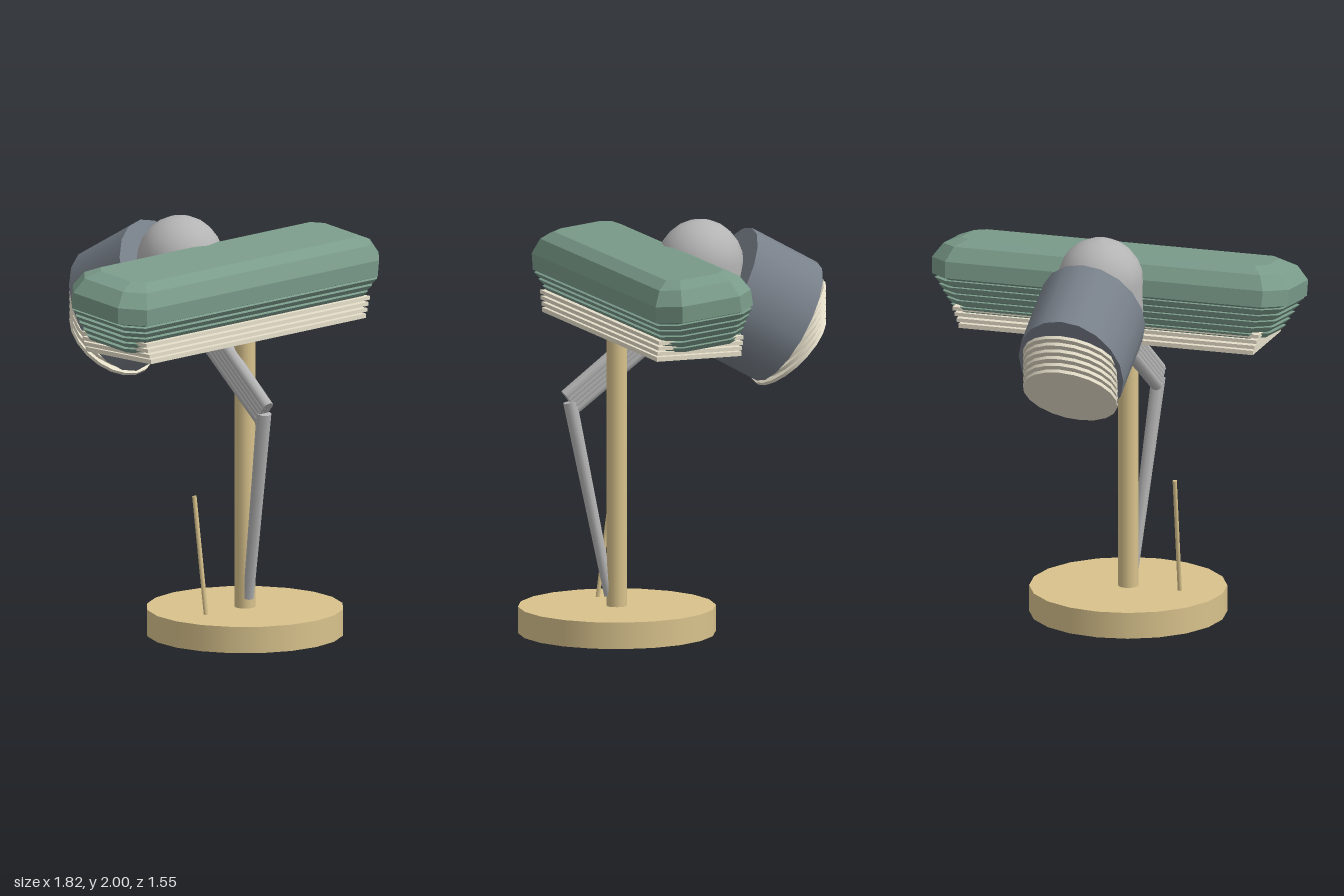
import * as THREE from 'three';

const mat = (color, flatShading = false) => new THREE.MeshStandardMaterial({ color, flatShading });
const brass = mat(0xd8c28c), cream = mat(0xe6dfca), grey = mat(0xb4b4b4);
const steel = mat(0x78808a), green = mat(0x7a9b8a, true);

function add(parent, name, geometry, material, x = 0, y = 0, z = 0) {
  const mesh = new THREE.Mesh(geometry, material);
  mesh.name = name;
  mesh.position.set(x, y, z);
  parent.add(mesh);
  return mesh;
}

// straight round bar between two points
function rod(parent, name, a, b, rA, rB, material, sides = 8) {
  const from = new THREE.Vector3(...a), to = new THREE.Vector3(...b);
  const dir = to.clone().sub(from);
  const mesh = add(parent, name, new THREE.CylinderGeometry(rB, rA, dir.length(), sides), material);
  mesh.position.copy(from).addScaledVector(dir, 0.5);
  mesh.quaternion.setFromUnitVectors(new THREE.Vector3(0, 1, 0), dir.normalize());
  return mesh;
}

// solid through chamfered rectangles [y, halfX, halfZ, chamfer], listed from the bottom up
function chamferedLoft(rings) {
  const pos = [], index = [];
  for (const [y, hx, hz, c] of rings) {
    const corners = [[hx, hz - c], [hx - c, hz], [c - hx, hz], [-hx, hz - c],
      [-hx, c - hz], [c - hx, -hz], [hx - c, -hz], [hx, c - hz]];
    for (const [x, z] of corners) pos.push(x, y, z);
  }
  for (let r = 0; r < rings.length - 1; r++) {
    for (let i = 0; i < 8; i++) {
      const a = r * 8 + i, b = r * 8 + (i + 1) % 8;
      index.push(a, a + 8, b, b, a + 8, b + 8);
    }
  }
  const top = (rings.length - 1) * 8;
  for (let i = 1; i < 7; i++) {
    index.push(0, i, i + 1);
    index.push(top, top + i + 1, top + i);
  }
  const geometry = new THREE.BufferGeometry();
  geometry.setAttribute('position', new THREE.Float32BufferAttribute(pos, 3));
  geometry.setIndex(index);
  geometry.computeVertexNormals();
  return geometry;
}

export function createModel() {
  const lamp = new THREE.Group();
  lamp.name = 'deskLamp';

  // round foot, post and the small leaning rod
  add(lamp, 'base', new THREE.CylinderGeometry(0.48, 0.48, 0.13, 20), brass, 0, 0.065, 0.29);
  rod(lamp, 'post', [0, 0.12, 0.29], [0, 1.5, 0.29], 0.05, 0.05, brass, 16);
  rod(lamp, 'pullRod', [-0.265, 0.12, 0.285], [-0.265, 0.705, 0.205], 0.011, 0.011, brass);

  // bent side arm: one lower bar, several ridged upper bars
  const elbow = [-0.085, 1.13, 0.5];
  rod(lamp, 'lowerArm', [-0.012, 0.18, 0.325], elbow, 0.026, 0.036, grey);
  for (let i = 0; i < 5; i++) {
    const o = (i - 2) * 0.021, dy = o * 0.79, dz = o * 0.62;
    rod(lamp, 'upperArm' + i, [elbow[0], elbow[1] + dy, elbow[2] + dz],
      [-0.03, 1.55 + dy, -0.03 + dz], 0.03, 0.035, grey);
  }

  // long green shade, its lower half stepped in layers
  const rings = [];
  const steps = 5;
  for (let i = 0; i < steps; i++) {
    const t = i / steps, y = -0.18 + i * 0.033;
    const hx = 0.81 + 0.09 * t, hz = 0.205 + 0.055 * t;
    rings.push([y, hx - 0.02, hz - 0.015, 0.07], [y + 0.024, hx + 0.005, hz, 0.08],
      [y + 0.026, hx - 0.02, hz - 0.02, 0.07]);
  }
  rings.push([-0.01, 0.905, 0.255, 0.1], [0.07, 0.91, 0.25, 0.1],
    [0.14, 0.86, 0.21, 0.08], [0.172, 0.78, 0.15, 0.05]);
  const shade = add(lamp, 'shade', chamferedLoft(rings), green, 0, 1.695, 0.155);
  shade.rotation.x = 0.11;

  // pale plates under the shade
  for (let i = 0; i < 4; i++) {
    add(lamp, 'shadePlate' + i, new THREE.BoxGeometry(1.5 + i * 0.02, i ? 0.018 : 0.022, 0.44),
      cream, 0, 1.468 + i * 0.028, 0.16);
  }

  // domed upright body behind the shade
  const profile = [[0, 1.375], [0.1, 1.38], [0.16, 1.395], [0.19, 1.43], [0.21, 1.52], [0.21, 1.79]];
  for (let i = 1; i <= 6; i++) {
    const a = i * Math.PI / 12;
    profile.push([Math.max(0, 0.21 * Math.cos(a)), 1.79 + 0.21 * Math.sin(a)]);
  }
  add(lamp, 'domedBody', new THREE.LatheGeometry(
    profile.map(([r, y]) => new THREE.Vector2(r, y)), 16), grey, 0, 0, -0.145);

  // oval drum, tilted back and down
  const drum = add(lamp, 'drum', new THREE.CylinderGeometry(1, 1, 1, 18), steel, 0, 1.565, -0.426);
  drum.scale.set(0.262, 0.39, 0.322);
  drum.rotation.x = 1.06;

  // stacked pale discs leaving the lower end of the drum
  for (let i = 0; i < 6; i++) {
    const disc = add(lamp, 'drumDisc' + i, new THREE.CylinderGeometry(0.235, 0.235, 0.017, 20),
      cream, 0, 1.34 + i * 0.034, -0.605);
    disc.rotation.x = Math.PI / 4;
  }
  return lamp;
}
